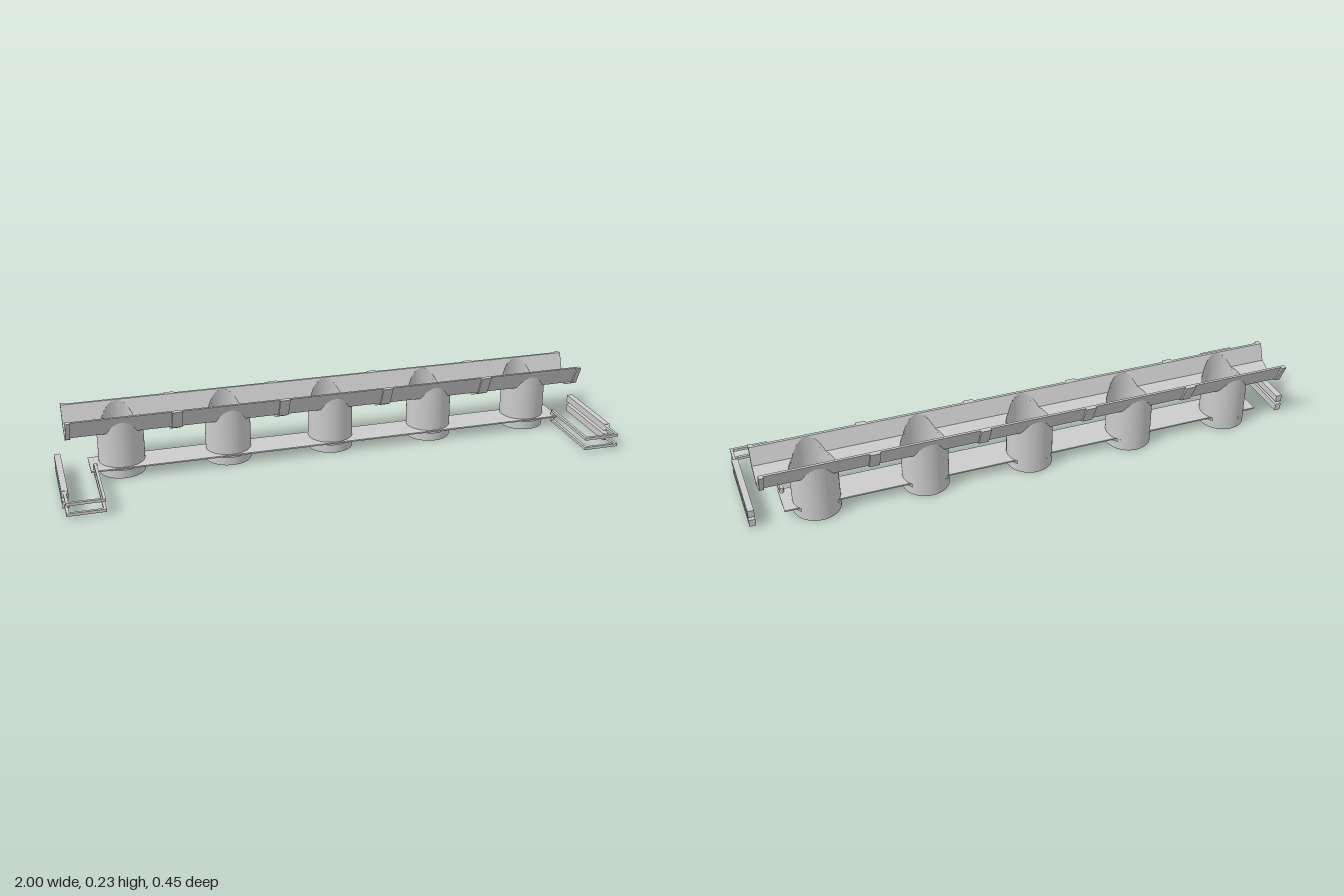
import * as THREE from 'three';

const ZC = -0.123;              // centre line of trough and pipes
const R = 0.0815;               // pipe radius
const X0 = -0.96, X1 = 0.955;   // trough ends
const PIPES = [-2, -1, 0, 1, 2].map(i => -0.0025 + i * 0.383);

// trough half profiles: [distance from centre line, height]
const INNER = [[0, 0.149], [0.058, 0.174], [0.082, 0.233], [0.092, 0.233]];
const OUTER = [[0, 0.140], [0.062, 0.166], [0.092, 0.233]];
const RIB = [[0, 0.133], [0.067, 0.163], [0.101, 0.233]];

function createMaterial(flat = true) {
  return new THREE.MeshStandardMaterial({ color: 0xcccccc, flatShading: flat, side: THREE.DoubleSide });
}
const mat = createMaterial();

function add(parent, name, geometry, x = 0, y = 0, z = 0) {
  const mesh = new THREE.Mesh(geometry, mat);
  mesh.name = name;
  mesh.position.set(x, y, z);
  parent.add(mesh);
  return mesh;
}

// height of a half profile at distance w from the centre line
function heightAt(profile, w) {
  w = Math.abs(w);
  for (let i = 1; i < profile.length; i++) {
    const [a, ya] = profile[i - 1], [b, yb] = profile[i];
    if (w <= b) return ya + (yb - ya) * (w - a) / (b - a);
  }
  return profile[profile.length - 1][1];
}

// one bay of the trough, its ends curving round the neighbouring pipes
function bayGeometry(left, right) {
  const half = [0, 0.015, 0.03, 0.045, 0.058, 0.062, 0.068, 0.073, 0.077, 0.08, R, 0.082, 0.092];
  const ws = [...half.slice(1).reverse().map(w => -w), ...half];
  const loop = [
    ...ws.map(w => [w, heightAt(INNER, w)]),
    ...ws.slice().reverse().map(w => [w, heightAt(OUTER, w)]),
  ];
  const pos = [], index = [];
  for (const [w, y] of loop) {
    const chord = Math.sqrt(Math.max(0, R * R - w * w));
    const xa = left === null ? X0 : left + chord;
    const xb = right === null ? X1 : right - chord;
    pos.push(xa, y, ZC + w, xb, y, ZC + w);
  }
  const n = loop.length;
  for (let i = 0; i < n; i++) {
    const a = 2 * i, b = 2 * ((i + 1) % n);
    index.push(a, b, a + 1, b, b + 1, a + 1);
  }
  const g = new THREE.BufferGeometry();
  g.setAttribute('position', new THREE.Float32BufferAttribute(pos, 3));
  g.setIndex(index);
  g.computeVertexNormals();
  return g;
}

// thicker band wrapped under the trough
function ribGeometry(width) {
  const full = p => [...p.slice(1).reverse().map(([w, y]) => [-w, y]), ...p];
  const pts = [...full(INNER.slice(0, 3)), ...full(RIB).reverse()];
  const shape = new THREE.Shape(pts.map(([w, y]) => new THREE.Vector2(w, y)));
  const g = new THREE.ExtrudeGeometry(shape, { depth: width, bevelEnabled: false });
  g.translate(0, 0, -width / 2);
  g.rotateY(Math.PI / 2);
  return g;
}

function ring(y0, y1, start = 0, sweep = Math.PI * 2, segs = 48) {
  const g = new THREE.CylinderGeometry(R, R, y1 - y0, segs, 1, true, start, sweep);
  return g.translate(0, (y0 + y1) / 2, 0);
}

// open pipe with a slot for the slide and a top cut to the trough
function buildPipe(x) {
  const pipe = new THREE.Group();
  pipe.name = 'outletPipe';
  pipe.position.set(x, 0, ZC);
  add(pipe, 'pipeBottom', ring(0, 0.031));
  const back = Math.acos(0.052 / R);
  add(pipe, 'pipeSlotBack', ring(0.031, 0.042, Math.PI - back, 2 * back, 14));
  const top = ring(0.042, 0.2);
  const p = top.attributes.position;
  for (let i = 0; i < p.count; i++) {
    if (p.getY(i) > 0.1) p.setY(i, heightAt(INNER, p.getZ(i)));
  }
  top.computeVertexNormals();
  add(pipe, 'pipeBody', top);
  return pipe;
}

// box given by its limits
function bar(parent, name, x0, x1, y0, y1, z0, z1) {
  add(parent, name, new THREE.BoxGeometry(x1 - x0, y1 - y0, z1 - z0),
    (x0 + x1) / 2, (y0 + y1) / 2, (z0 + z1) / 2);
}

// pair of grips on bent rods, built for the +x end
function buildHandle() {
  const handle = new THREE.Group();
  handle.name = 'handle';
  for (const y of [0.018, 0.0555]) {
    const t = 0.005;
    bar(handle, 'grip', 0.978, 1, y - 0.013, y + 0.013, -0.162, 0.145);
    const taper = new THREE.CylinderGeometry(0.0075, 0.0165, 0.01, 4);
    taper.rotateY(Math.PI / 4).rotateX(Math.PI / 2);
    add(handle, 'gripTaper', taper, 0.989, y, 0.15);
    bar(handle, 'outerRod', 0.984, 0.994, y - t, y + t, 0.15, 0.225);
    bar(handle, 'crossRod', 0.863, 0.994, y - t, y + t, 0.215, 0.225);
    bar(handle, 'innerRod', 0.863, 0.873, y - t, y + t, -0.064, 0.225);
  }
  // pivot through the slide
  add(handle, 'pivotPin', new THREE.CylinderGeometry(0.0075, 0.0075, 0.045, 12), 0.868, 0.037, -0.058);
  return handle;
}

export function createModel() {
  const model = new THREE.Group();
  model.name = 'troughWithOutlets';

  // trough
  const trough = new THREE.Group();
  trough.name = 'trough';
  const stops = [null, ...PIPES, null];
  for (let i = 0; i < stops.length - 1; i++) add(trough, 'troughBay', bayGeometry(stops[i], stops[i + 1]));
  for (let i = 0; i < 4; i++) {
    add(trough, 'rib', ribGeometry(0.036), (PIPES[i] + PIPES[i + 1]) / 2, 0, ZC);
  }
  for (const x of [X0 + 0.008, X1 - 0.008]) add(trough, 'endRib', ribGeometry(0.016), x, 0, ZC);
  model.add(trough);

  // outlets
  for (const x of PIPES) model.add(buildPipe(x));

  // slide running through all pipes
  bar(model, 'slidePlate', -0.885, 0.88, 0.035, 0.04, -0.164, -0.041);

  // handles at both ends
  const left = buildHandle();
  const right = buildHandle();
  right.rotation.y = 0;
  right.scale.x = -1;
  model.add(left, right);
  return model;
}
